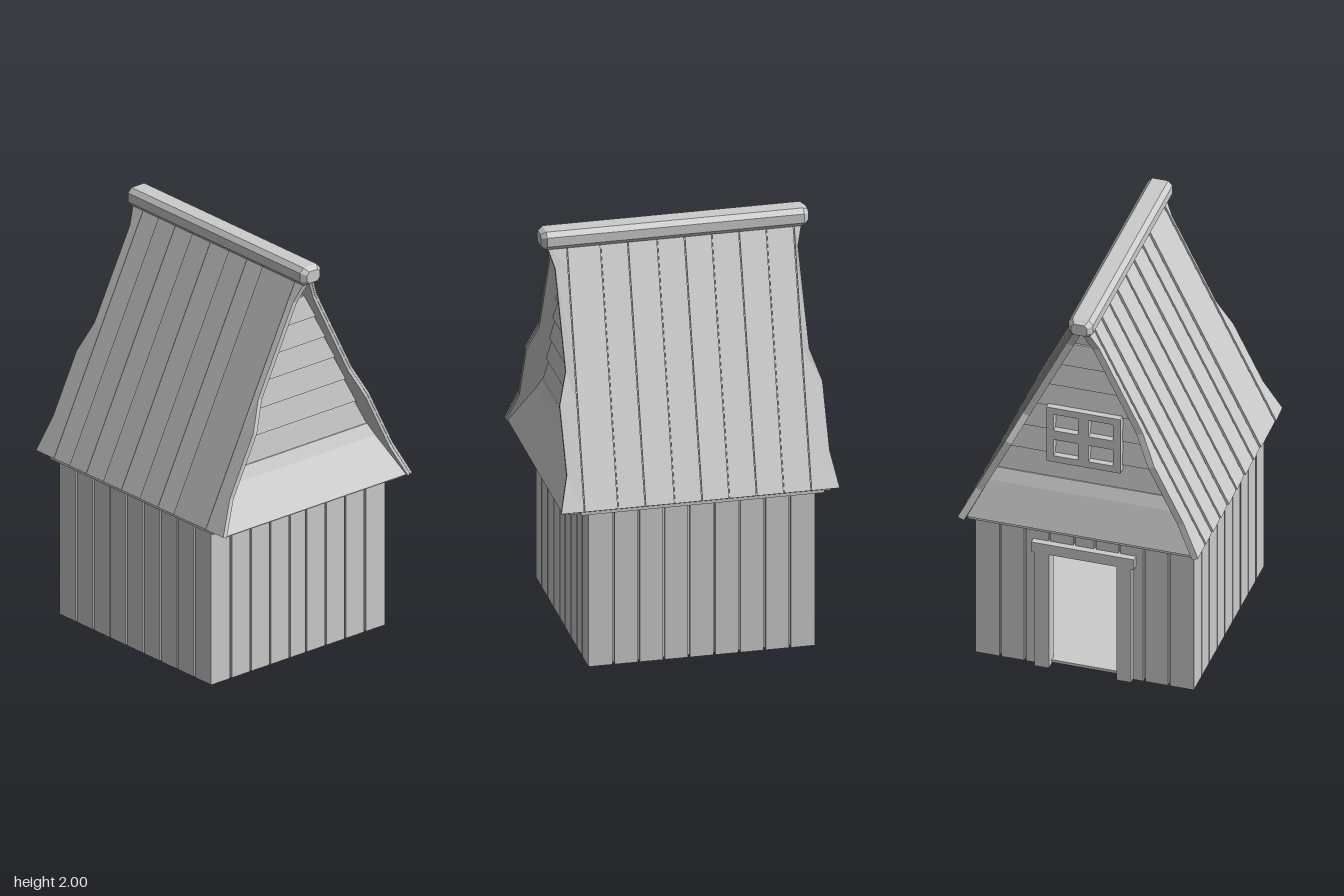
import * as THREE from 'three';

const mat = new THREE.MeshStandardMaterial({ color: 0xcccccc, flatShading: true });

// Closed solid through rings of equal point count, with end caps; winding is fixed by volume sign.
function loft(rings) {
  const n = rings[0].length, tris = [];
  for (let i = 0; i < rings.length - 1; i++) {
    for (let j = 0; j < n; j++) {
      const k = (j + 1) % n, a = rings[i], b = rings[i + 1];
      tris.push([a[j], a[k], b[k]], [a[j], b[k], b[j]]);
    }
  }
  const last = rings[rings.length - 1];
  for (let j = 1; j < n - 1; j++) {
    tris.push([rings[0][0], rings[0][j + 1], rings[0][j]], [last[0], last[j], last[j + 1]]);
  }
  let volume = 0;
  const [a, b, c] = [0, 1, 2].map(() => new THREE.Vector3());
  for (const t of tris) volume += a.set(...t[0]).dot(b.set(...t[1]).cross(c.set(...t[2])));
  if (volume < 0) tris.forEach(t => t.reverse());
  const g = new THREE.BufferGeometry();
  g.setAttribute('position', new THREE.Float32BufferAttribute(tris.flat(2), 3));
  g.computeVertexNormals();
  return g;
}

function add(parent, name, geometry) {
  const m = new THREE.Mesh(geometry, mat);
  m.name = name;
  parent.add(m);
  return m;
}

// Box given by its minimum and maximum corners
function box(parent, name, x0, x1, y0, y1, z0, z1) {
  const m = add(parent, name, new THREE.BoxGeometry(x1 - x0, y1 - y0, z1 - z0));
  m.position.set((x0 + x1) / 2, (y0 + y1) / 2, (z0 + z1) / 2);
  return m;
}

function group(parent, name) {
  const g = new THREE.Group();
  g.name = name;
  parent.add(g);
  return g;
}

// Roof outline rows: height, left edge, right edge
const rows = [
  [0.81, -0.665, 0.66], [0.97, -0.635, 0.615], [1.26, -0.635, 0.615],
  [1.4, -0.588, 0.57], [1.83, -0.585, 0.57], [1.93, -0.615, 0.6],
];

// Point on a roof slope, sunk by depth d below the outer face
const roofPoint = (x, y, d, s) => [x, y - 0.444 * d, s * (0.585 - 0.4955 * (y - 0.81) - 0.896 * d)];

// Strip of roof between two edge functions, with separate depths for both outer edges
function roofStrip(left, right, dl, dr, inner, s) {
  return loft(rows.map(r => {
    const xl = left(r), xr = right(r), y = r[0];
    return [roofPoint(xl, y, dl, s), roofPoint(xr, y, dr, s),
      roofPoint(xr, y, inner, s), roofPoint(xl, y, inner, s)];
  }));
}

function buildRoof(parent, s, grooves, drift) {
  const slope = group(parent, s > 0 ? 'frontRoofSlope' : 'backRoofSlope');
  add(slope, 'roofDeck', roofStrip(r => r[1] + 0.002, r => r[2] - 0.002, 0.014, 0.014, 0.034, s));
  const edge = (x, r) => x + drift * (r[0] - 0.81) / 1.12;
  for (let i = 0; i <= grooves.length; i++) {
    const left = r => i === 0 ? r[1] : Math.max(r[1], edge(grooves[i - 1] + 0.003, r));
    const right = r => i === grooves.length ? r[2] : Math.min(r[2], edge(grooves[i] - 0.003, r));
    add(slope, 'roofPlank', roofStrip(left, right, 0, i % 2 ? 0.008 : 0.005, 0.02, s));
  }
}

// Half width of the gable under the roof at height y
const gableHalf = y => Math.max(0.01, 0.55 - 0.492 * (y - 0.8));

// Tapered gable board from y0 to y1 with separate outer x at its bottom and top
function gableBoard(parent, name, y0, y1, back, x0, x1) {
  const ring = (y, x) => {
    const h = gableHalf(y);
    return [[back, y, -h], [x, y, -h], [x, y, h], [back, y, h]];
  };
  add(parent, name, loft([ring(y0, x0), ring(y1, x1)]));
}

export function createModel() {
  const model = new THREE.Group();
  model.name = 'woodenHut';

  // Floor, inner wall shell and ceiling
  box(model, 'floor', -0.545, 0.505, 0.006, 0.02, -0.515, 0.515);
  box(model, 'atticFloor', -0.63, 0.63, 0.785, 0.805, -0.545, 0.545);
  const shell = group(model, 'wallShell');
  for (const s of [-1, 1]) {
    box(shell, 'sideWall', -0.545, 0.505, 0.01, 0.79, s * 0.505 - 0.012, s * 0.505 + 0.012);
    box(shell, 'doorSideWall', -0.545, -0.52, 0.01, 0.79, s * 0.34 - 0.17, s * 0.34 + 0.17);
    box(model, 'eaveTrim', -0.6, 0.56, 0.78, 0.81, s * 0.54 - 0.015, s * 0.54 + 0.015);
  }
  box(shell, 'endWall', 0.48, 0.505, 0.01, 0.79, -0.51, 0.51);
  box(shell, 'overDoorWall', -0.545, -0.52, 0.64, 0.79, -0.17, 0.17);

  // Vertical boards on the gable ends, leaving the doorway open
  const zEdges = [-0.53, -0.41, -0.29, -0.17, -0.05, 0.05, 0.17, 0.29, 0.41, 0.53];
  const boards = group(model, 'wallBoards');
  for (let i = 0; i < zEdges.length - 1; i++) {
    const z0 = zEdges[i] + 0.005, z1 = zEdges[i + 1] - 0.005;
    const overDoor = z0 > -0.18 && z1 < 0.18;
    box(boards, 'endBoard', 0.5, 0.52, 0, 0.795, z0, z1);
    box(boards, 'doorEndBoard', -0.56, -0.54, overDoor ? 0.64 : 0, 0.795, z0, z1);
  }

  // Vertical boards on the long walls
  const count = 9, width = 1.08 / count;
  for (const s of [-1, 1]) {
    for (let i = 0; i < count; i++) {
      const x = -0.56 + i * width;
      box(boards, 'sideBoard', x + (i ? 0.005 : 0), x + width - (i < count - 1 ? 0.005 : 0), 0, 0.795,
        s * 0.521 - 0.01, s * 0.521 + 0.01);
    }
  }

  // Door frame
  const door = group(model, 'doorFrame');
  for (const s of [-1, 1]) {
    box(door, 'doorPost', -0.588, -0.52, 0, 0.64, s * 0.2 - 0.035, s * 0.2 + 0.035);
  }
  box(door, 'doorLintel', -0.592, -0.52, 0.635, 0.69, -0.25, 0.25);

  // Gable ends: sloping skirt, ledge and overlapping boards
  const levels = [1.05, 1.18, 1.31, 1.44, 1.56, 1.68, 1.8];
  for (const s of [-1, 1]) {
    const gable = group(model, s > 0 ? 'leftGable' : 'rightGable');
    const at = d => -0.02 + s * d;
    gableBoard(gable, 'gableBacking', 0.8, 1.88, at(0.47), at(0.505), at(0.505));
    gableBoard(gable, 'gableSkirt', 0.8, 0.99, at(0.48), s > 0 ? 0.65 : -0.637, at(0.56));
    gableBoard(gable, 'gableLedge', 0.99, 1.05, at(0.48), at(0.56), at(0.535));
    for (let i = 0; i < levels.length - 1; i++) {
      gableBoard(gable, 'gableBoard', levels[i], levels[i + 1] - 0.006, at(0.49), at(0.53), at(0.515));
    }
  }

  // Four-pane window above the door
  const frame = new THREE.Shape();
  const rect = (path, x0, x1, y0, y1) =>
    path.moveTo(x0, y0).lineTo(x1, y0).lineTo(x1, y1).lineTo(x0, y1).closePath();
  rect(frame, -0.18, 0.18, -0.15, 0.15);
  for (const sx of [-1, 1]) {
    for (const sy of [-1, 1]) {
      const hole = new THREE.Path();
      rect(hole, sx * 0.085 - 0.06, sx * 0.085 + 0.06, sy * 0.07 - 0.045, sy * 0.07 + 0.045);
      frame.holes.push(hole);
    }
  }
  const win = add(model, 'windowFrame', new THREE.ExtrudeGeometry(frame, { depth: 0.05, bevelEnabled: false }));
  win.rotation.y = -Math.PI / 2;
  win.position.set(-0.53, 1.3, 0);

  // Plank roof
  const roof = group(model, 'roof');
  buildRoof(roof, 1, [-0.54, -0.43, -0.31, -0.19, -0.06, 0.07, 0.2, 0.31, 0.54], 0);
  buildRoof(roof, -1, [-0.53, -0.4, -0.27, -0.14, -0.01, 0.12, 0.26, 0.39, 0.55], -0.045);

  // Chamfered ridge beam
  const ridgeRing = (x, k) => [[-1, -0.5], [-0.65, -1], [0.65, -1], [1, -0.5], [1, 0.5], [0.65, 1], [-0.65, 1], [-1, 0.5]]
    .map(([z, y]) => [x, 1.955 + y * 0.045 * k, z * 0.06 * k]);
  add(roof, 'ridgeBeam', loft([ridgeRing(-0.645, 0.65), ridgeRing(-0.62, 1), ridgeRing(0.605, 1), ridgeRing(0.63, 0.65)]));

  return model;
}
